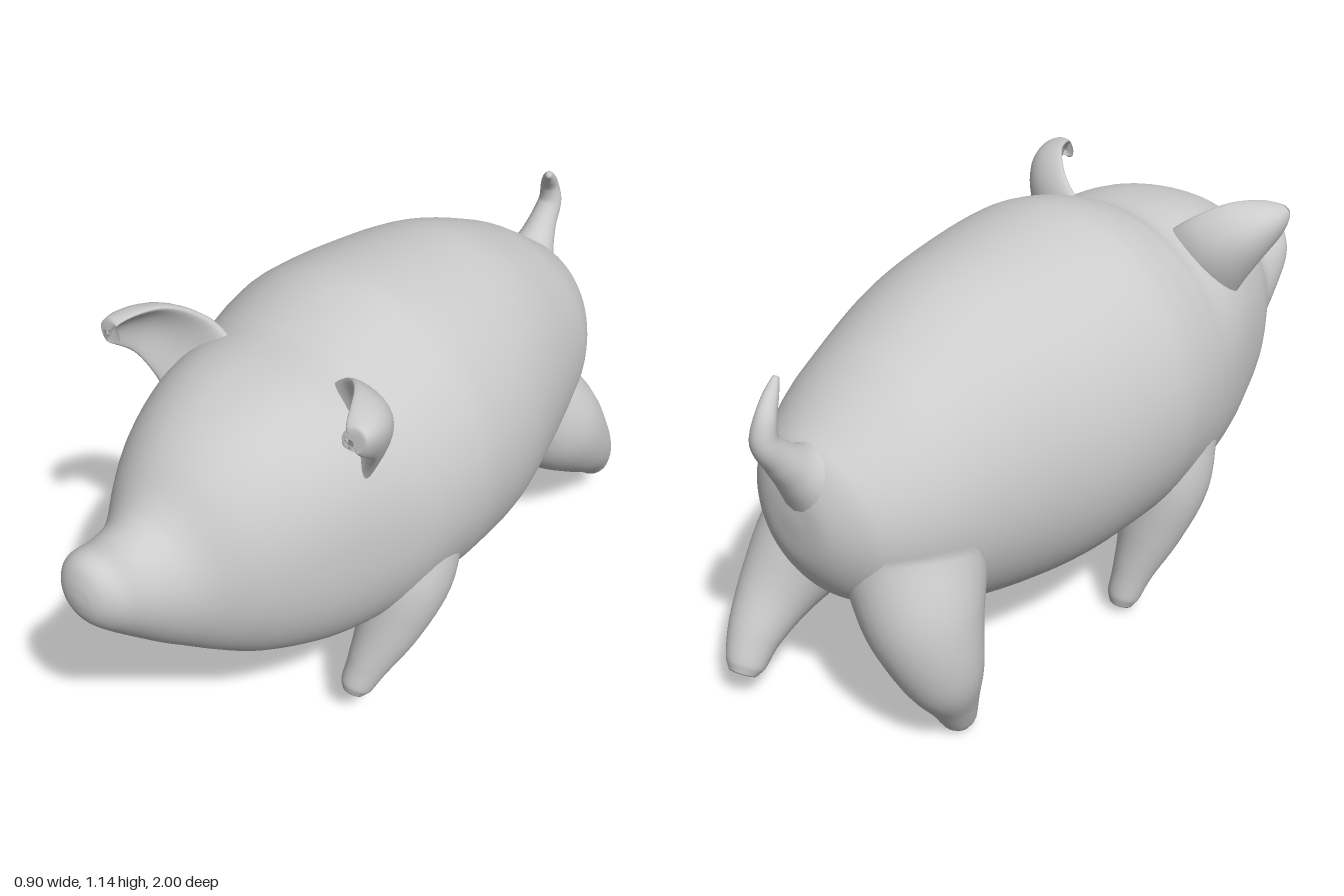
import * as THREE from 'three';

const material = new THREE.MeshStandardMaterial({ color: 0xcccccc, roughness: 0.8 });
const V = (x, y, z) => new THREE.Vector3(x, y, z);

// Skin a closed, capped surface over a list of rings of points, facing outward
function loft(name, rings) {
  const n = rings[0].length, pos = [], idx = [];
  rings.forEach(r => r.forEach(p => pos.push(p.x, p.y, p.z)));
  for (let i = 0; i < rings.length - 1; i++) {
    for (let j = 0; j < n; j++) {
      const a = i * n + j, b = i * n + (j + 1) % n;
      idx.push(a, b, a + n, b, b + n, a + n);
    }
  }
  [0, rings.length - 1].forEach((k, end) => {
    const c = rings[k].reduce((s, p) => s.add(p), V(0, 0, 0)).divideScalar(n);
    const centre = pos.length / 3;
    pos.push(c.x, c.y, c.z);
    for (let j = 0; j < n; j++) {
      const a = k * n + j, b = k * n + (j + 1) % n;
      idx.push(centre, end ? a : b, end ? b : a);
    }
  });
  // Flip the winding if the enclosed volume comes out negative
  let volume = 0;
  const at = i => V(pos[3 * i], pos[3 * i + 1], pos[3 * i + 2]);
  for (let i = 0; i < idx.length; i += 3) {
    volume += at(idx[i]).dot(at(idx[i + 1]).cross(at(idx[i + 2])));
  }
  if (volume < 0) idx.reverse();
  const g = new THREE.BufferGeometry();
  g.setAttribute('position', new THREE.Float32BufferAttribute(pos, 3));
  g.setIndex(idx);
  g.computeVertexNormals();
  const mesh = new THREE.Mesh(g, material);
  mesh.name = name;
  return mesh;
}

// Round limb along stops of [x, y, z, radius]
function limb(name, stops, steps = 32, sides = 28) {
  const path = new THREE.CatmullRomCurve3(stops.map(s => V(s[0], s[1], s[2])));
  const radius = new THREE.CatmullRomCurve3(stops.map((s, i) => V(i, s[3], 0)), false, 'catmullrom');
  let side = V(1, 0, 0);
  const rings = [];
  for (let i = 0; i <= steps; i++) {
    const t = i / steps, c = path.getPoint(t), dir = path.getTangent(t);
    const r = radius.getPoint(t).y;
    side = side.clone().addScaledVector(dir, -side.dot(dir)).normalize();
    const up = dir.clone().cross(side);
    rings.push(Array.from({ length: sides }, (_, j) => {
      const a = j / sides * Math.PI * 2;
      return c.clone().addScaledVector(side, r * Math.cos(a)).addScaledVector(up, r * Math.sin(a));
    }));
  }
  return loft(name, rings);
}

// Body and head: stations of [z, top, bottom, half width, centre x, squareness]
function body() {
  const stations = [
    [-0.895, 0.68, 0.64, 0.02, 0, 2], [-0.885, 0.76, 0.55, 0.1, 0, 2],
    [-0.85, 0.83, 0.47, 0.17, 0, 2], [-0.8, 0.87, 0.41, 0.225, 0, 2],
    [-0.7, 0.94, 0.34, 0.285, 0, 2], [-0.6, 1.0, 0.285, 0.32, 0, 2],
    [-0.4, 1.085, 0.228, 0.38, 0, 2], [-0.2, 1.12, 0.207, 0.43, 0, 2],
    [0, 1.14, 0.215, 0.448, 0, 2], [0.1, 1.132, 0.22, 0.44, 0, 2],
    [0.2, 1.1, 0.225, 0.42, 0, 2.05], [0.27, 1.07, 0.235, 0.4, 0, 2.15],
    [0.4, 1.06, 0.265, 0.36, 0, 2.3], [0.5, 1.04, 0.3, 0.325, 0, 2.3],
    [0.6, 1.0, 0.34, 0.28, -0.005, 2.2], [0.68, 0.945, 0.39, 0.23, -0.01, 2.1],
    [0.75, 0.87, 0.44, 0.175, -0.02, 2], [0.8, 0.835, 0.48, 0.145, -0.025, 2],
    [0.87, 0.825, 0.545, 0.12, -0.03, 2], [0.94, 0.835, 0.615, 0.1, -0.03, 2],
    [0.975, 0.82, 0.655, 0.075, -0.03, 2], [0.993, 0.785, 0.69, 0.045, -0.03, 2],
    [1, 0.75, 0.725, 0.012, -0.03, 2]
  ];
  const curve = k => new THREE.CatmullRomCurve3(
    stations.map(s => V(s[k], s[k + 1], s[k + 2])), false, 'catmullrom', 0.5);
  const heights = curve(0), widths = curve(3), steps = 132, sides = 72;
  const rings = [];
  for (let i = 0; i <= steps; i++) {
    const h = heights.getPoint(i / steps), w = widths.getPoint(i / steps);
    const cy = (h.y + h.z) / 2, ry = (h.y - h.z) / 2;
    const bend = v => Math.sign(v) * Math.abs(v) ** (2 / w.z);
    rings.push(Array.from({ length: sides }, (_, j) => {
      const a = j / sides * Math.PI * 2;
      return V(w.y + w.x * bend(Math.cos(a)), cy + ry * bend(Math.sin(a)), h.x);
    }));
  }
  return loft('body', rings);
}

// Cupped ear: thin bowed sections between an upper and a lower edge
function ear(name, s) {
  const edge = pts => new THREE.CatmullRomCurve3(pts.map(p => V(s * p[0], p[1], p[2])));
  const upper = edge([[0.13, 1.0, 0.3], [0.21, 1.07, 0.32], [0.285, 1.112, 0.39], [0.34, 1.1, 0.49], [0.355, 1.075, 0.52]]);
  const lower = edge([[0.3, 0.83, 0.39], [0.335, 0.9, 0.4], [0.37, 0.97, 0.43], [0.385, 1.03, 0.5], [0.37, 1.055, 0.52]]);
  const rings = [];
  for (let i = 0; i <= 24; i++) {
    const t = i / 24, p = upper.getPoint(t), q = lower.getPoint(t);
    const chord = q.clone().sub(p), growth = upper.getTangent(t).add(lower.getTangent(t));
    const out = chord.clone().cross(growth).normalize();
    if (out.z > 0) out.negate(); // the back of the ear
    const thick = THREE.MathUtils.lerp(0.04, 0.012, t);
    const bow = 0.28 * chord.length() * Math.min(1, 0.3 + t);
    rings.push(Array.from({ length: 28 }, (_, j) => {
      const a = j / 28 * Math.PI * 2, u = 0.5 - 0.5 * Math.cos(a);
      return p.clone().addScaledVector(chord, u)
        .addScaledVector(out, thick * Math.sin(a) + bow * 4 * u * (1 - u));
    }));
  }
  return loft(name, rings);
}

export function createModel() {
  const group = new THREE.Group();
  group.name = 'pig';
  group.add(body(), ear('leftEar', 1), ear('rightEar', -1));

  // Legs in mid-trot, flaring into the body and ending in blunt hooves
  group.add(
    limb('leftFrontLeg', [[0.25, 0.56, 0.12, 0.15], [0.285, 0.42, 0.18, 0.128], [0.282, 0.29, 0.24, 0.09],
      [0.26, 0.18, 0.3, 0.058], [0.245, 0.115, 0.333, 0.044], [0.242, 0.095, 0.343, 0.03]]),
    limb('rightFrontLeg', [[-0.25, 0.56, 0.18, 0.15], [-0.285, 0.4, 0.15, 0.128], [-0.28, 0.25, 0.105, 0.09],
      [-0.262, 0.13, 0.06, 0.058], [-0.25, 0.05, 0.034, 0.045], [-0.248, 0.024, 0.026, 0.032]]),
    limb('leftHindLeg', [[0.16, 0.5, -0.56, 0.17], [0.22, 0.4, -0.65, 0.15], [0.25, 0.29, -0.75, 0.108],
      [0.25, 0.19, -0.845, 0.073], [0.24, 0.12, -0.895, 0.052], [0.237, 0.1, -0.91, 0.036]]),
    limb('rightHindLeg', [[-0.15, 0.52, -0.66, 0.18], [-0.215, 0.39, -0.7, 0.15], [-0.255, 0.25, -0.69, 0.11],
      [-0.25, 0.13, -0.65, 0.07], [-0.238, 0.04, -0.618, 0.047], [-0.235, 0.016, -0.61, 0.033]])
  );

  // Curled tail
  group.add(limb('tail', [[-0.01, 0.74, -0.8, 0.12], [-0.015, 0.8, -0.875, 0.065], [-0.02, 0.855, -0.925, 0.043],
    [-0.02, 0.915, -0.962, 0.034], [-0.02, 0.97, -0.953, 0.026], [-0.005, 1.01, -0.92, 0.018],
    [0.01, 1.035, -0.89, 0.008]], 40, 20));
  return group;
}
